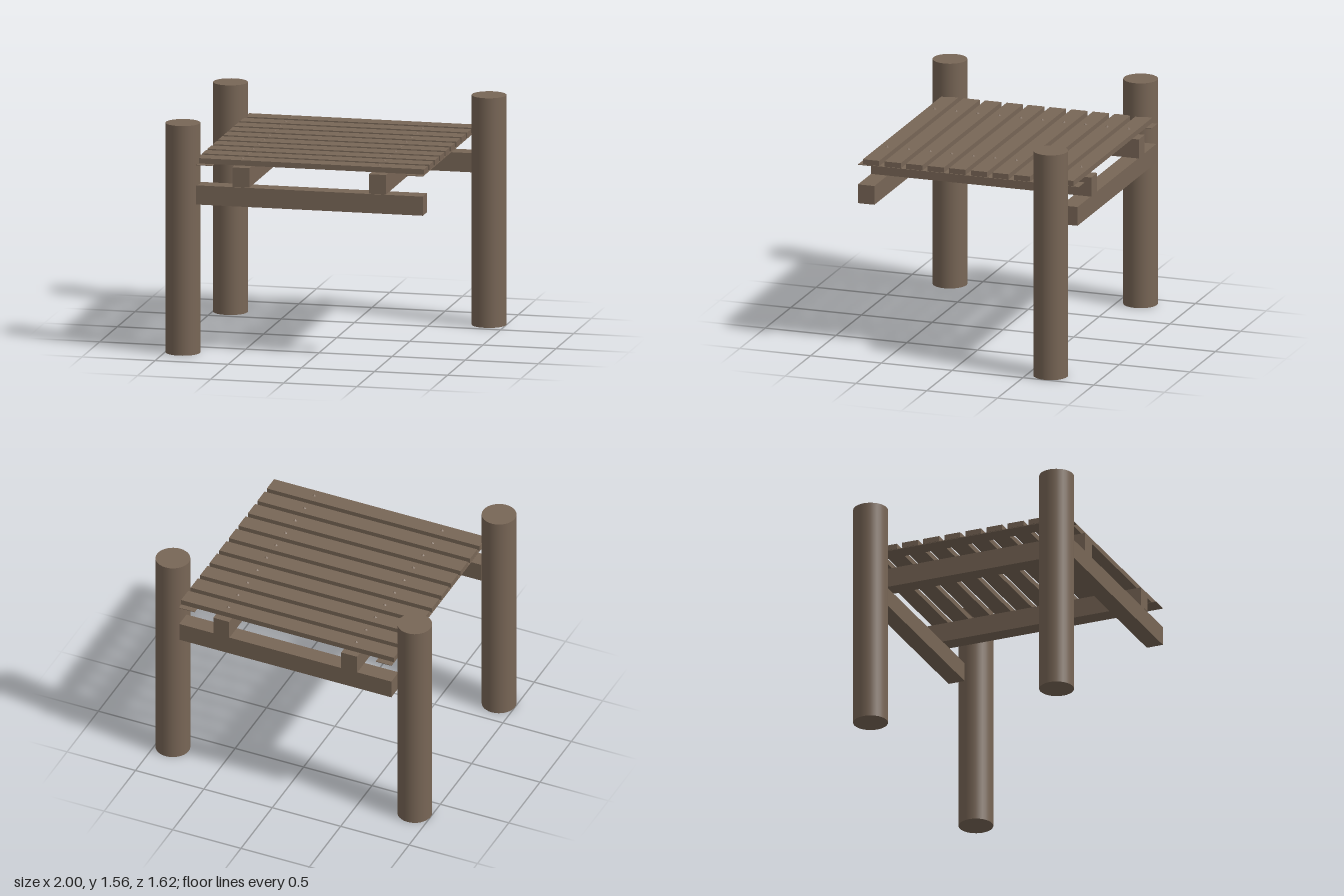
import * as THREE from 'three';

export function createModel() {
  const model = new THREE.Group();
  model.name = 'timberPlatform';
  const wood = new THREE.MeshStandardMaterial({ color: 0x786656 });
  wood.name = 'brown wood';

  const add = (name, geometry, x, y, z) => {
    const mesh = new THREE.Mesh(geometry, wood);
    mesh.name = name;
    mesh.position.set(x, y, z);
    model.add(mesh);
  };
  // Box given by its extents on each axis
  const box = (name, [x0, x1], [y0, y1], [z0, z1]) =>
    add(name, new THREE.BoxGeometry(x1 - x0, y1 - y0, z1 - z0),
      (x0 + x1) / 2, (y0 + y1) / 2, (z0 + z1) / 2);

  // Round posts on three corners, the front left corner is open
  const post = new THREE.CylinderGeometry(0.116, 0.116, 1.56, 32);
  for (const [x, z] of [[-0.884, 0.692], [-0.884, -0.655], [0.884, -0.655]]) {
    add('post', post, x, 0.78, z);
  }

  // Cross beams at front and back
  box('frontBeam', [-0.78, 0.77], [1.02, 1.15], [0.632, 0.748]);
  box('backBeam', [-0.78, 0.77], [1.02, 1.15], [-0.803, -0.687]);

  // Joists resting on the beams
  const depth = [-0.81, 0.747];
  box('rightJoist', [-0.533, -0.417], [1.152, 1.284], depth);
  box('leftJoist', [0.402, 0.518], [1.152, 1.284], depth);

  // Thin edge strips under the slat ends
  box('rightEdgeStrip', [-0.785, -0.67], [1.286, 1.29], depth);
  box('leftEdgeStrip', [0.655, 0.77], [1.286, 1.29], depth);

  // Deck slats, each with a small pointed nail over each joist
  const nail = new THREE.ConeGeometry(0.014, 0.012, 6);
  for (let i = 0; i < 10; i++) {
    const z = 0.655 - i * 0.1523;
    box('slat', [-0.785, 0.77], [1.292, 1.328], [z - 0.0575, z + 0.0575]);
    for (const x of [-0.485, 0.45]) add('nail', nail, x, 1.333, z);
  }
  return model;
}
